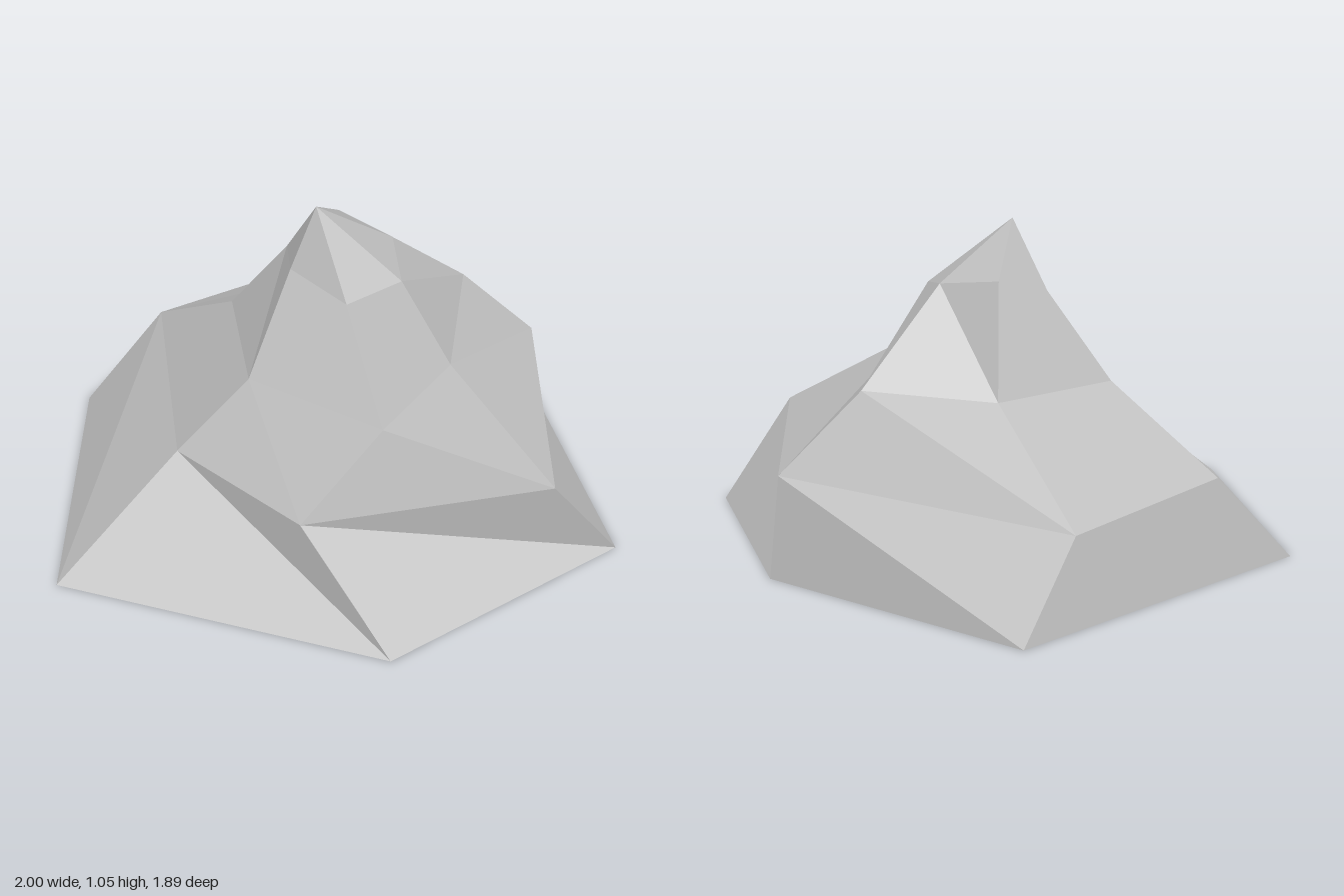
import * as THREE from 'three';

// Six-sided cross-sections from the ground to the summit, each corner [x, y, z]
const RINGS = [
  [[-1, 0, 0.09], [-0.51, 0, 0.945], [0.58, 0, 0.725], [1, 0, -0.08], [0.43, 0, -0.735], [-0.495, 0, -0.95]],
  [[-0.815, 0.305, -0.145], [-0.305, 0.33, 0.52], [0.22, 0.33, 0.64], [0.84, 0.34, 0.12], [0.42, 0.317, -0.685], [-0.555, 0.26, -0.705]],
  [[-0.425, 0.55, -0.025], [-0.13, 0.57, 0.35], [0.38, 0.6, 0.41], [0.38, 0.535, -0.07], [0.21, 0.57, -0.53], [-0.19, 0.54, -0.4]],
  [[-0.21, 0.83, -0.04], [-0.11, 0.855, 0.11], [0.125, 0.83, 0.17], [0.215, 0.83, -0.03], [0.09, 0.86, -0.21], [-0.125, 0.885, -0.24]],
];
const PEAK = [-0.065, 1.05, 0.02];
const SIDES = 6;

// Unshared corners keep every facet flat
function facetMesh(name, triangles, material) {
  const geometry = new THREE.BufferGeometry();
  geometry.setAttribute('position', new THREE.Float32BufferAttribute(triangles.flat(2), 3));
  geometry.computeVertexNormals();
  const mesh = new THREE.Mesh(geometry, material);
  mesh.name = name;
  return mesh;
}

// Band of triangles between two neighbouring cross-sections
function band(lower, upper) {
  const triangles = [];
  for (let i = 0; i < SIDES; i++) {
    const j = (i + 1) % SIDES;
    triangles.push([lower[i], lower[j], upper[i]], [upper[i], lower[j], upper[j]]);
  }
  return triangles;
}

export function createModel() {
  const group = new THREE.Group();
  group.name = 'mountain';
  const stone = new THREE.MeshStandardMaterial({ color: 0xbebebe, flatShading: true });
  stone.name = 'grey stone';

  // Slopes
  ['foot', 'lowerSlope', 'upperSlope'].forEach((name, k) => {
    group.add(facetMesh(name, band(RINGS[k], RINGS[k + 1]), stone));
  });

  // Summit
  const top = RINGS[RINGS.length - 1];
  group.add(facetMesh('summit', top.map((p, i) => [p, top[(i + 1) % SIDES], PEAK]), stone));

  // Flat underside
  const ground = RINGS[0];
  group.add(facetMesh('underside', ground.map((p, i) => [ground[(i + 1) % SIDES], p, [0, 0, 0]]), stone));

  return group;
}
